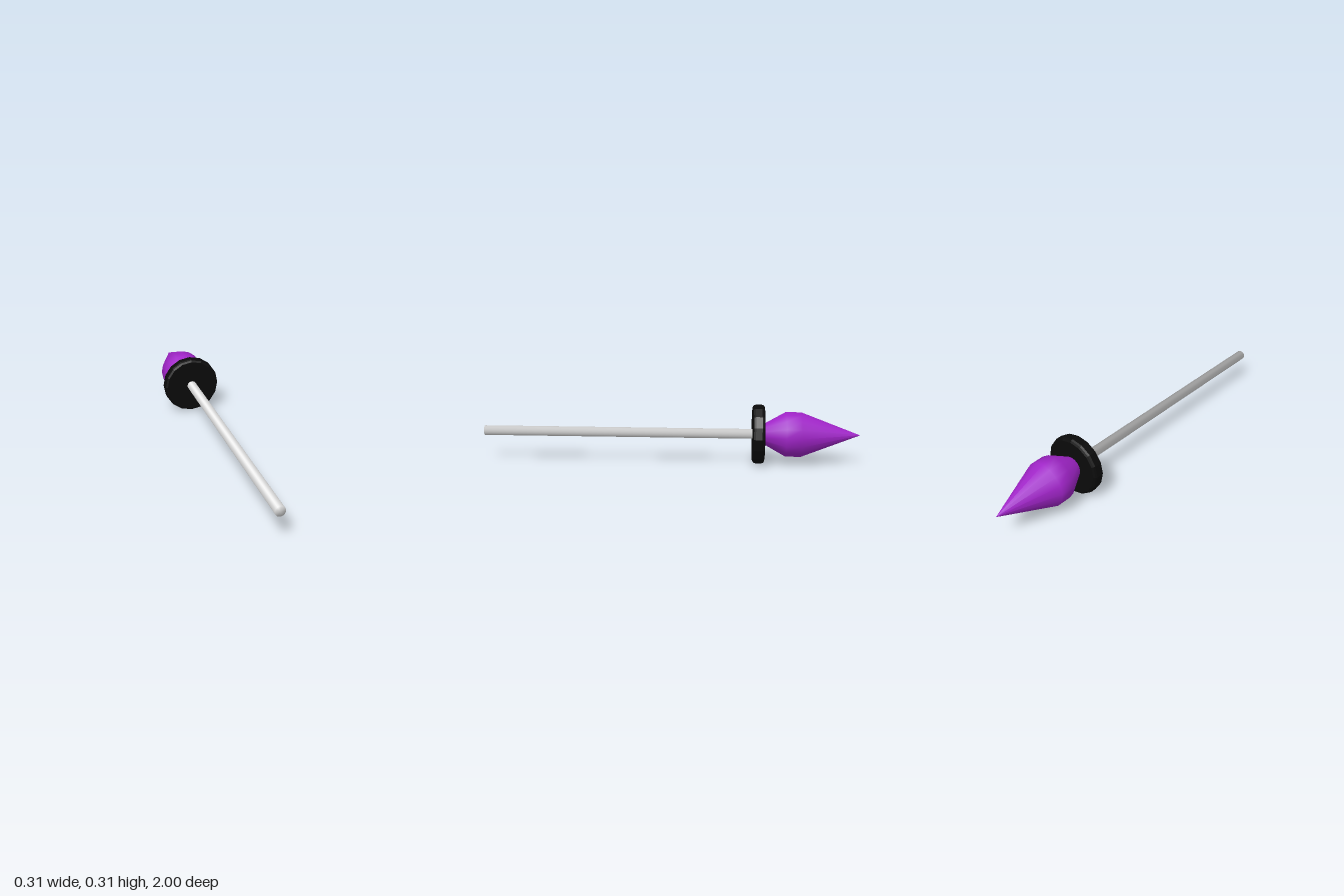
import * as THREE from 'three';

const AXIS_Y = 0.158;

function flat(name, color, extra = {}) {
  const m = new THREE.MeshStandardMaterial({ color, ...extra });
  m.name = name;
  return m;
}

// Revolves [radius, distance] pairs around the weapon's axis, pointing to -z
function turned(name, points, sides, material) {
  const geo = new THREE.LatheGeometry(points.map(([r, d]) => new THREE.Vector2(r, d)), sides);
  geo.rotateX(-Math.PI / 2);
  const mesh = new THREE.Mesh(geo, material);
  mesh.name = name;
  mesh.position.y = AXIS_Y;
  return mesh;
}

export function createModel() {
  const group = new THREE.Group();
  group.name = 'spear';
  const silver = flat('silver', 0xd2d2d2);
  const black = flat('black', 0x0a0a0a, { flatShading: true });
  const purple = flat('purple', 0xa024c8);

  // Slim shaft with a closed butt end
  const shaft = turned('shaft', [[0, -1], [0.026, -1], [0.026, 0.47]], 24, silver);
  // Soft normals shared by butt and sides, leaning toward the butt
  const { position, normal } = shaft.geometry.attributes;
  const n = new THREE.Vector3();
  for (let i = 0; i < position.count; i++) {
    n.set(position.getX(i) / 0.026, position.getY(i) / 0.026, 1).normalize();
    normal.setXYZ(i, n.x, n.y, n.z);
  }

  // Round guard with bevelled rims
  const guard = turned('guard', [
    [0, 0.437], [0.143, 0.437], [0.153, 0.442], [0.157, 0.452],
    [0.157, 0.485], [0.153, 0.495], [0.143, 0.5], [0, 0.5],
  ], 16, black);

  // Pointed head, widest near its base
  const head = turned('head', [
    [0.045, 0.48], [0.119, 0.61], [0.119, 0.69], [0, 1],
  ], 16, purple);

  group.add(shaft, guard, head);
  return group;
}
